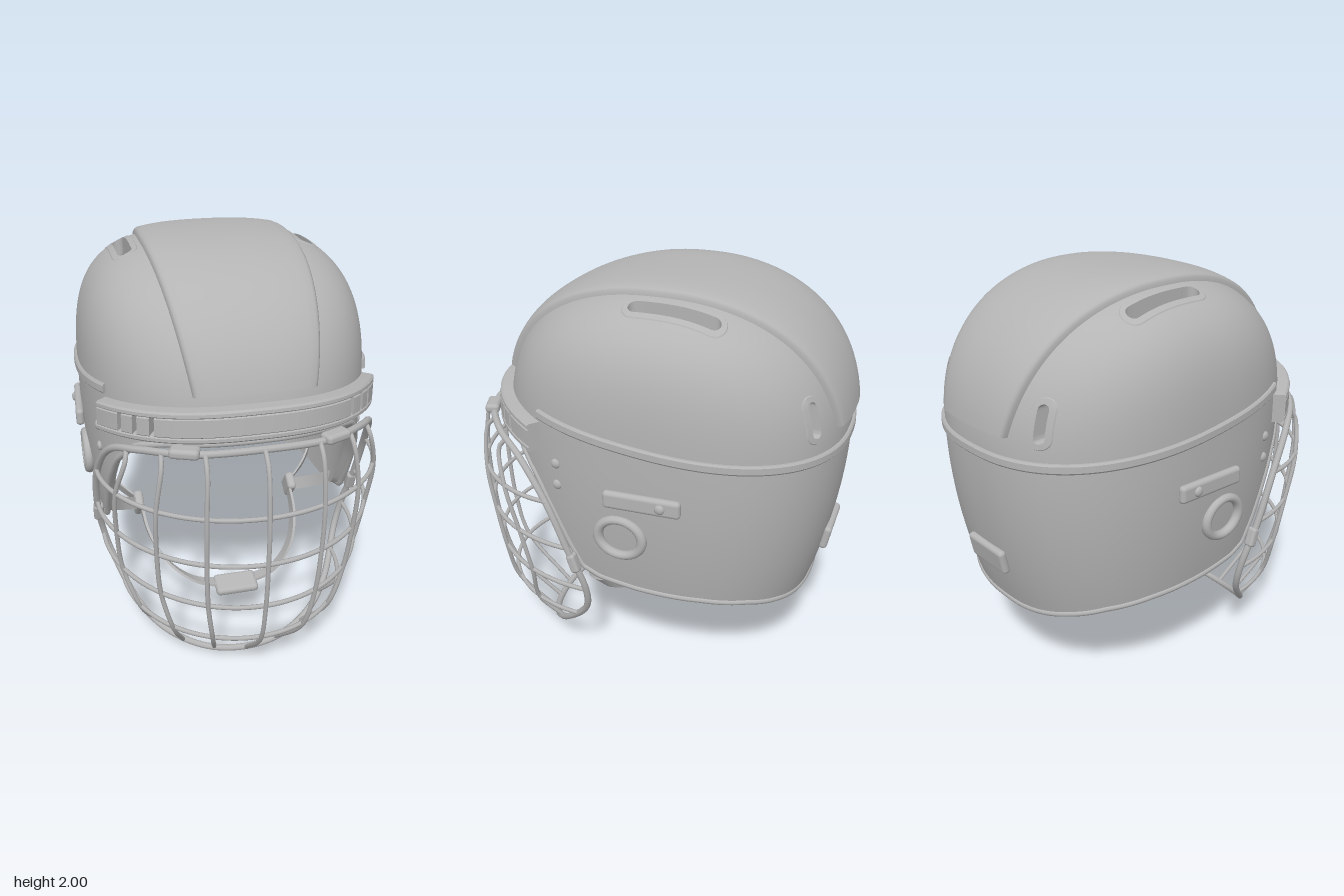
import * as THREE from 'three';
import { toCreasedNormals } from 'three/addons/utils/BufferGeometryUtils.js';
import { RoundedBoxGeometry } from 'three/addons/geometries/RoundedBoxGeometry.js';

const V = (x, y, z) => new THREE.Vector3(x, y, z);
const lerp = THREE.MathUtils.lerp;
const PI = Math.PI, CY = 1.25, CZ = -0.1;

// Helmet volume: a superellipsoid dome above CY, a slightly tapering wall below
function inside(p) {
  let w = 0.69, zf = 0.84, zb = 0.82;
  const s = (p.y - CY) / 0.72;
  if (s >= 1) return false;
  if (s > 0) {
    const k = (1 - s ** 2.4) ** (1 / 2.4);
    w *= (1 - s ** 3.45) ** (1 / 3.45); zf *= k; zb *= k;
  } else {
    const d = CY - p.y;
    w -= 0.13 * d * d; zb -= 0.2 * d * d;
  }
  const z = p.z - CZ;
  return (Math.abs(p.x) / w) ** 2.4 + (Math.abs(z) / (z > 0 ? zf : zb)) ** 2.4 < 1;
}
// Point where a ray leaves the helmet volume, pushed on by off
function hit(origin, dir, off = 0) {
  let a = 0, b = 1.5;
  for (let i = 0; i < 26; i++) {
    const m = (a + b) / 2;
    if (inside(origin.clone().addScaledVector(dir, m))) a = m; else b = m;
  }
  return origin.clone().addScaledVector(dir, a + off);
}
const wall = (th, y, off = 0) => hit(V(0, y, CZ), V(Math.sin(th), 0, Math.cos(th)), off);

// Lower edge of the shell as a height over z
const EDGE = [[-0.8, 0.49], [-0.72, 0.53], [-0.6, 0.57], [-0.4, 0.595], [-0.1, 0.605], [0.1, 0.625], [0.19, 0.66],
  [0.25, 0.77], [0.33, 0.93], [0.42, 1.08], [0.55, 1.22], [0.65, 1.26], [0.75, 1.28]];
function edgeY(z) {
  if (z <= EDGE[0][0]) return EDGE[0][1];
  for (let i = 1; i < EDGE.length; i++) {
    const [z0, y0] = EDGE[i - 1], [z1, y1] = EDGE[i];
    if (z <= z1) return lerp(y0, y1, (z - z0) / (z1 - z0));
  }
  return 1.28;
}
function bottomY(th) {
  let y = 0.9;
  for (let i = 0; i < 12; i++) y = lerp(y, edgeY(wall(th, y).z), 0.7);
  return y;
}

// Skin a list of equal-length rings; skip() can leave out triangles
function loft(rings, closed, crease = 0.6, skip = null) {
  const n = rings[0].length, pos = [], idx = [];
  rings.forEach(r => r.forEach(p => pos.push(p.x, p.y, p.z)));
  const flat = rings.flat();
  const tri = (a, b, c) => {
    if (skip && skip(flat[a].clone().add(flat[b]).add(flat[c]).divideScalar(3))) return;
    idx.push(a, b, c);
  };
  for (let i = 0; i < rings.length - 1; i++) for (let j = 0; j < (closed ? n : n - 1); j++) {
    const k = (j + 1) % n, a = i * n + j, b = i * n + k;
    tri(a, b, b + n); tri(a, b + n, a + n);
  }
  const g = new THREE.BufferGeometry();
  g.setAttribute('position', new THREE.Float32BufferAttribute(pos, 3));
  g.setIndex(idx);
  return toCreasedNormals(g, crease);
}
// Close both ends of a lofted bar
const capped = rings => {
  const mid = r => { const c = r.reduce((s, p) => s.add(p), V(0, 0, 0)).divideScalar(r.length); return r.map(() => c.clone()); };
  return [mid(rings[0]), ...rings, mid(rings[rings.length - 1])];
};
const range = (n, f) => Array.from({ length: n + 1 }, (_, i) => f(i / n));

export function createModel() {
  const grey = new THREE.MeshStandardMaterial({ color: 0xb4b4b4, side: THREE.DoubleSide });
  grey.name = 'grey';
  const model = new THREE.Group();
  const add = (name, geo, parent = model) => {
    const m = new THREE.Mesh(geo, grey);
    m.name = name; parent.add(m);
    return m;
  };
  const tube = (name, pts, r, closed = false, segs = 48, parent = model) =>
    add(name, new THREE.TubeGeometry(new THREE.CatmullRomCurve3(pts, closed), segs, r, 8, closed), parent);

  // Shell: inner liner, bottom lip and outer skin in one grid, with vent slots left open
  const topVent = { a: -0.375, b: -0.03, r: 0.033 }, backVent = { a: 1.43, b: 1.55, r: 0.022 };
  const inSlot = (u, v, s) => Math.hypot(u, v - Math.min(s.b, Math.max(s.a, v))) < s.r + 0.008;
  const skip = p => (p.y > 1.5 && inSlot(Math.abs(p.x) - 0.44, p.z, topVent)) ||
    (p.z < -0.5 && inSlot(Math.abs(p.x) - 0.37, p.y, backVent));
  const columns = range(200, t => {
    const th = t * 2 * PI, yb = bottomY(th), side = off => {
      const low = range(16, k => wall(th, lerp(yb, 1.32, k), off));
      const p = wall(th, 1.32), start = Math.atan2(1.32 - CY, Math.hypot(p.x, p.z - CZ));
      const dome = range(60, k => {
        const a = lerp(start, PI / 2, k);
        return hit(V(0, CY, CZ), V(Math.sin(th) * Math.cos(a), Math.sin(a), Math.cos(th) * Math.cos(a)), off);
      });
      return [...low, ...dome.slice(1)];
    };
    return [...side(-0.05).reverse(), ...side(0)];
  });
  add('shell', loft(columns, false, 0.7, skip));
  tube('shellLip', range(160, t => wall(t * 2 * PI, bottomY(t * 2 * PI), -0.004)).slice(0, -1), 0.015, true, 320);

  // Rims and walls of the vent slots
  const stadium = (s, r) => [
    ...range(10, t => [r * Math.cos(t * PI), s.b + r * Math.sin(t * PI)]),
    ...range(10, t => [-r, lerp(s.b, s.a, t)]).slice(1, -1),
    ...range(10, t => [-r * Math.cos(t * PI), s.a - r * Math.sin(t * PI)]),
    ...range(10, t => [r, lerp(s.a, s.b, t)]).slice(1, -1)];
  const rim = (name, s, project) => add(name, loft([[0.03, -0.004], [0.024, 0.004], [0, 0.004], [0, -0.08]]
    .map(([grow, off]) => stadium(s, s.r + grow).map(([u, v]) => project(u, v, off))), true, 0.5));
  for (const m of [-1, 1]) {
    rim('topVent', topVent, (u, v, off) => hit(V(m * 0.44 + u, CY, v), V(0, 1, 0), off));
    rim('backVent', backVent, (u, v, off) => hit(V(m * 0.37 + u, v, CZ), V(0, 0, -1), off));
  }

  // Raised crest over the crown
  const crestRing = (t, lift) => {
    const phi = lerp(0.29, PI - 0.2, t), d = PI / 2 - phi;
    const hw = 0.36 - (d > 0 ? 0.09 * (d / 1.28) ** 2 : 0.13 * (d / 1.37) ** 2);
    const section = [[-1, -0.015], [-1, 0.018], [-0.975, 0.028], ...range(16, k => [lerp(-0.94, 0.94, k), 0.031]),
      [0.975, 0.028], [1, 0.018], [1, -0.015]];
    return section.map(([u, off]) => hit(V(u * hw, CY, CZ), V(0, Math.sin(phi), Math.cos(phi)), lift ? off : -0.015));
  };
  add('crest', loft([crestRing(0, 0), ...range(64, t => crestRing(t, 1)), crestRing(1, 0)], false, 0.7));

  // Ridge where the lower shell overlaps the upper one
  const ridgeTop = z => 1.455 - 0.1 * (0.41 - z) - 0.012 * Math.sin((0.41 - z) / 1.33 * PI);
  add('ridge', loft(capped(range(100, t => {
    const th = lerp(0.9, 2 * PI - 0.9, t), y = ridgeTop(wall(th, 1.4).z);
    return [[0, -0.01], [0, 0.01], [-0.008, 0.016], [-0.037, 0.016], [-0.045, 0.01], [-0.045, -0.01]]
      .map(([dy, off]) => wall(th, y + dy, off));
  })), true));

  // Brow guard made of two rails and posts, leaving three slots each side
  const guard = new THREE.Group();
  guard.name = 'browGuard'; model.add(guard);
  const bar = (name, t0, t1, v0, v1, n) => add(name, loft(capped(range(n, t => {
    const th = lerp(t0, t1, t), c = 1.38 - 0.062 * (th / 0.9) ** 2;
    return [[v0, -0.005], [v0, 0.052], [v0 + 0.008, 0.06], [v1 - 0.008, 0.06], [v1, 0.052], [v1, -0.005]]
      .map(([dy, off]) => wall(th, c + dy, off));
  })), true, 0.4), guard);
  bar('lowerRail', -0.9, 0.9, -0.07, -0.04, 60);
  bar('upperRail', -0.9, 0.9, 0.04, 0.07, 60);
  const cuts = [0.525, 0.62, 0.715], stops = [-0.9];
  [...cuts.map(c => -c).reverse(), ...cuts].forEach(c => stops.push(c - 0.013, c + 0.013));
  stops.push(0.9);
  for (let i = 0; i < stops.length; i += 2) bar('post', stops[i], stops[i + 1], -0.046, 0.046, i === 6 ? 40 : 6);

  // Wire cage: outer frame, horizontal arcs and upright wires
  const cage = new THREE.Group();
  cage.name = 'cage'; model.add(cage);
  const half = [[0.3, 1.28, 0.8], [0.5, 1.255, 0.66], [0.61, 1.19, 0.5], [0.665, 1, 0.345], [0.67, 0.75, 0.24],
    [0.645, 0.55, 0.175], [0.605, 0.4, 0.19], [0.5, 0.2, 0.36], [0.38, 0.1, 0.48], [0.2, 0.035, 0.57]].map(p => V(...p));
  const flip = p => V(-p.x, p.y, p.z);
  tube('frame', [V(0, 1.29, 0.84), ...half, V(0, 0.017, 0.6), ...half.map(flip).reverse()], 0.017, true, 160, cage);
  const rows = [[1.01, 0.67, 0.34, 0.935], [0.77, 0.67, 0.24, 0.935], [0.53, 0.645, 0.185, 0.915], [0.3, 0.565, 0.25, 0.855]];
  const onRow = ([y, xe, ze, zc], a, out = 0) => V(xe * Math.sin(a), y, ze + (zc - ze) * Math.cos(a) + out);
  rows.forEach(r => tube('crossWire', range(24, t => onRow(r, lerp(-PI / 2, PI / 2, t))), 0.011, false, 64, cage));
  const uprights = [[0, [0, 1.29, 0.85], [0, 0.02, 0.61]], [0.39, [0.25, 1.285, 0.82], [0.16, 0.03, 0.58]],
    [0.685, [0.42, 1.27, 0.73], [0.31, 0.065, 0.53]], [0.91, [0.55, 1.235, 0.6], [0.445, 0.15, 0.42]]];
  for (const [s, top, end] of uprights) {
    const path = [V(...top), ...rows.map(r => onRow(r, Math.asin(s), 0.01)), V(...end)];
    const shoulder = path[0].clone().lerp(path[1], 0.2);
    shoulder.z += 0.035; path.splice(1, 0, shoulder);
    tube('upright', path, 0.011, false, 48, cage);
    if (s) tube('upright', path.map(flip), 0.011, false, 48, cage);
  }

  // Flat strap following a path, its face turned away from the head
  const ribbon = (name, pts, w, parent) => {
    const curve = new THREE.CatmullRomCurve3(pts.map(p => V(...p)));
    add(name, loft(capped(range(24, t => {
      const p = curve.getPoint(t), n = V(p.x, p.y - 0.5, 0).normalize();
      const side = curve.getTangent(t).cross(n).normalize();
      return [[-1, -1], [1, -1], [1, 1], [-1, 1]].map(([a, b]) =>
        p.clone().addScaledVector(side, a * w / 2).addScaledVector(n, b * 0.007));
    })), true), parent);
  };

  // Fittings repeated on both sides
  for (const m of [1, -1]) {
    const side = new THREE.Group();
    side.name = m > 0 ? 'leftFittings' : 'rightFittings';
    side.scale.x = m; model.add(side);
    const rivet = (x, y, z) => {
      const r = add('rivet', new THREE.SphereGeometry(0.024, 16, 10), side);
      r.scale.x = 0.6; r.position.set(x, y, z);
    };
    const surfaceX = (y, z) => hit(V(0, y, z), V(1, 0, 0)).x;
    rivet(surfaceX(1.21, 0.29), 1.21, 0.29);
    rivet(surfaceX(1.1, 0.29), 1.1, 0.29);
    const plate = add('sidePlate', new RoundedBoxGeometry(0.04, 0.085, 0.36, 4, 0.019), side);
    plate.position.set(0.7, 1.122, -0.15); plate.rotation.y = 0.05;
    rivet(0.715, 1.122, -0.24);
    const ring = add('earRing', new THREE.TorusGeometry(0.108, 0.024, 12, 48), side);
    ring.rotation.set(0, PI / 2, 0); ring.scale.set(1, 0.86, 1);
    ring.position.set(0.683, 0.91, -0.035);
    const clip = add('cageClip', new RoundedBoxGeometry(0.05, 0.1, 0.045, 3, 0.015), side);
    clip.position.set(0.665, 0.695, 0.218); clip.rotation.x = 0.3;
    const holder = add('browClip', new RoundedBoxGeometry(0.13, 0.045, 0.07, 3, 0.018), side);
    holder.position.set(0.33, 1.29, 0.79); holder.rotation.y = 0.38;
    ribbon('frontAnchorStrap', [[0.61, 0.68, 0.14], [0.53, 0.6, 0.03], [0.43, 0.53, -0.07]], 0.065, side);
    ribbon('rearAnchorStrap', [[0.61, 0.68, -0.26], [0.53, 0.6, -0.17], [0.43, 0.53, -0.1]], 0.065, side);
    ribbon('chinStrap', [[0.42, 0.52, -0.07], [0.4, 0.43, 0.08], [0.33, 0.34, 0.23], [0.2, 0.28, 0.34], [0, 0.255, 0.38]], 0.065, side);
    const buckle = add('buckle', new RoundedBoxGeometry(0.05, 0.13, 0.1, 3, 0.02), side);
    buckle.position.set(0.43, 0.52, -0.09); buckle.rotation.x = 0.65;
  }

  // Chin cup and rear plate
  const cup = add('chinCup', new RoundedBoxGeometry(0.22, 0.045, 0.12, 4, 0.02));
  cup.position.set(0, 0.257, 0.385); cup.rotation.x = 0.25;
  const rear = add('rearPlate', new RoundedBoxGeometry(0.27, 0.125, 0.04, 4, 0.019));
  rear.position.set(0, 0.755, wall(PI, 0.755).z - 0.008); rear.rotation.x = -0.18;
  return model;
}
